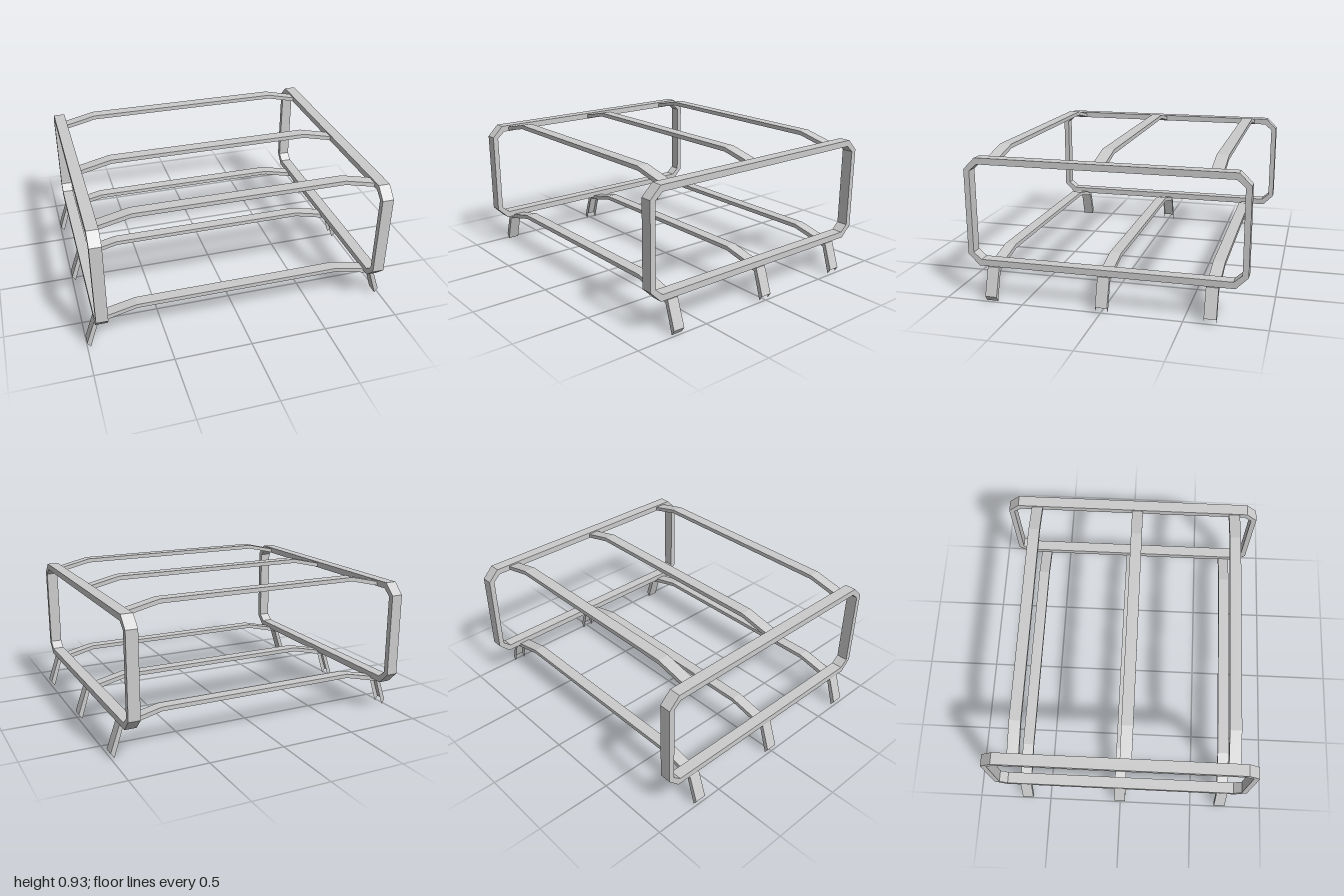
import * as THREE from 'three';

const material = new THREE.MeshStandardMaterial({ color: 0xcccccc, flatShading: true });
const thinMaterial = new THREE.MeshStandardMaterial({ color: 0xcccccc, flatShading: true, side: THREE.DoubleSide });

const BAR_WIDTH = 0.075;

// Half profiles (x, y) from the middle outwards; mirrored to full bars.
const lowerOuter = [[0.67, 0.268], [0.94, 0.206], [1, 0.032]];
const lowerInner = [[0.67, 0.241], [0.921, 0.18], [0.978, 0]];
const upperOuter = [[0.67, 0.932], [0.9, 0.879]];
const upperInner = [[0.67, 0.905], [0.9, 0.852]];

const toVectors = (pts) => pts.map(([x, y]) => new THREE.Vector2(x, y));
const mirrored = (half) => toVectors([...half.map(([x, y]) => [-x, y]).reverse(), ...half]);

function barShape(outer, inner) {
  return new THREE.Shape([...mirrored(outer), ...mirrored(inner).reverse()]);
}

function solidBar(name, outer, inner, z) {
  const geometry = new THREE.ExtrudeGeometry(barShape(outer, inner), { depth: BAR_WIDTH, bevelEnabled: false });
  const mesh = new THREE.Mesh(geometry, material);
  mesh.name = name;
  mesh.position.z = z - BAR_WIDTH / 2;
  return mesh;
}

// Thin folded channel: an outer skin and two side walls, open on the inside.
function channelBar(name, outer, inner, z) {
  const group = new THREE.Group();
  group.name = name;
  const positions = [];
  const index = [];
  mirrored(outer).forEach(({ x, y }, i) => {
    positions.push(x, y, BAR_WIDTH / 2, x, y, -BAR_WIDTH / 2);
    if (i > 0) {
      const a = 2 * i - 2;
      index.push(a, a + 2, a + 1, a + 1, a + 2, a + 3);
    }
  });
  const skinGeometry = new THREE.BufferGeometry();
  skinGeometry.setAttribute('position', new THREE.Float32BufferAttribute(positions, 3));
  skinGeometry.setIndex(index);
  skinGeometry.computeVertexNormals();
  const skin = new THREE.Mesh(skinGeometry, thinMaterial);
  skin.name = 'channelSkin';
  group.add(skin);
  for (const side of [-1, 1]) {
    const wall = new THREE.Mesh(new THREE.ShapeGeometry(barShape(outer, inner)), thinMaterial);
    wall.name = 'channelWall';
    wall.position.z = side * BAR_WIDTH / 2;
    group.add(wall);
  }
  group.position.z = z;
  return group;
}

// Rectangle with cut corners, centred on z = 0.
function cutRectangle(halfWidth, bottom, top, cutX, cutY) {
  const w = halfWidth;
  return toVectors([
    [w, bottom + cutY], [w, top - cutY], [w - cutX, top], [cutX - w, top],
    [-w, top - cutY], [-w, bottom + cutY], [cutX - w, bottom], [w - cutX, bottom],
  ]);
}

function sideHoop(side) {
  const shape = new THREE.Shape(cutRectangle(0.868, 0.211, 0.896, 0.073, 0.073));
  shape.holes.push(new THREE.Path(cutRectangle(0.832, 0.252, 0.856, 0.05, 0.043)));
  const geometry = new THREE.ExtrudeGeometry(shape, { depth: BAR_WIDTH, bevelEnabled: false });
  geometry.translate(0, 0, -BAR_WIDTH / 2);
  geometry.rotateY(Math.PI / 2);
  const hoop = new THREE.Mesh(geometry, material);
  hoop.name = side > 0 ? 'leftHoop' : 'rightHoop';
  hoop.position.x = side * 0.907;
  return hoop;
}

export function createModel() {
  const model = new THREE.Group();
  model.name = 'rackFrame';

  // Closed hoops on both sides
  for (const side of [-1, 1]) model.add(sideHoop(side));

  // Upper cross bars
  [['front', 0.707], ['middle', 0.035], ['back', -0.663]].forEach(([place, z]) => {
    model.add(solidBar(place + 'UpperBar', upperOuter, upperInner, z));
  });

  // Lower cross bars, bent down into legs
  model.add(solidBar('frontLowerBar', lowerOuter, lowerInner, 0.707));
  model.add(channelBar('middleLowerBar', lowerOuter, lowerInner, -0.003));
  model.add(channelBar('backLowerBar', lowerOuter, lowerInner, -0.66));

  return model;
}
